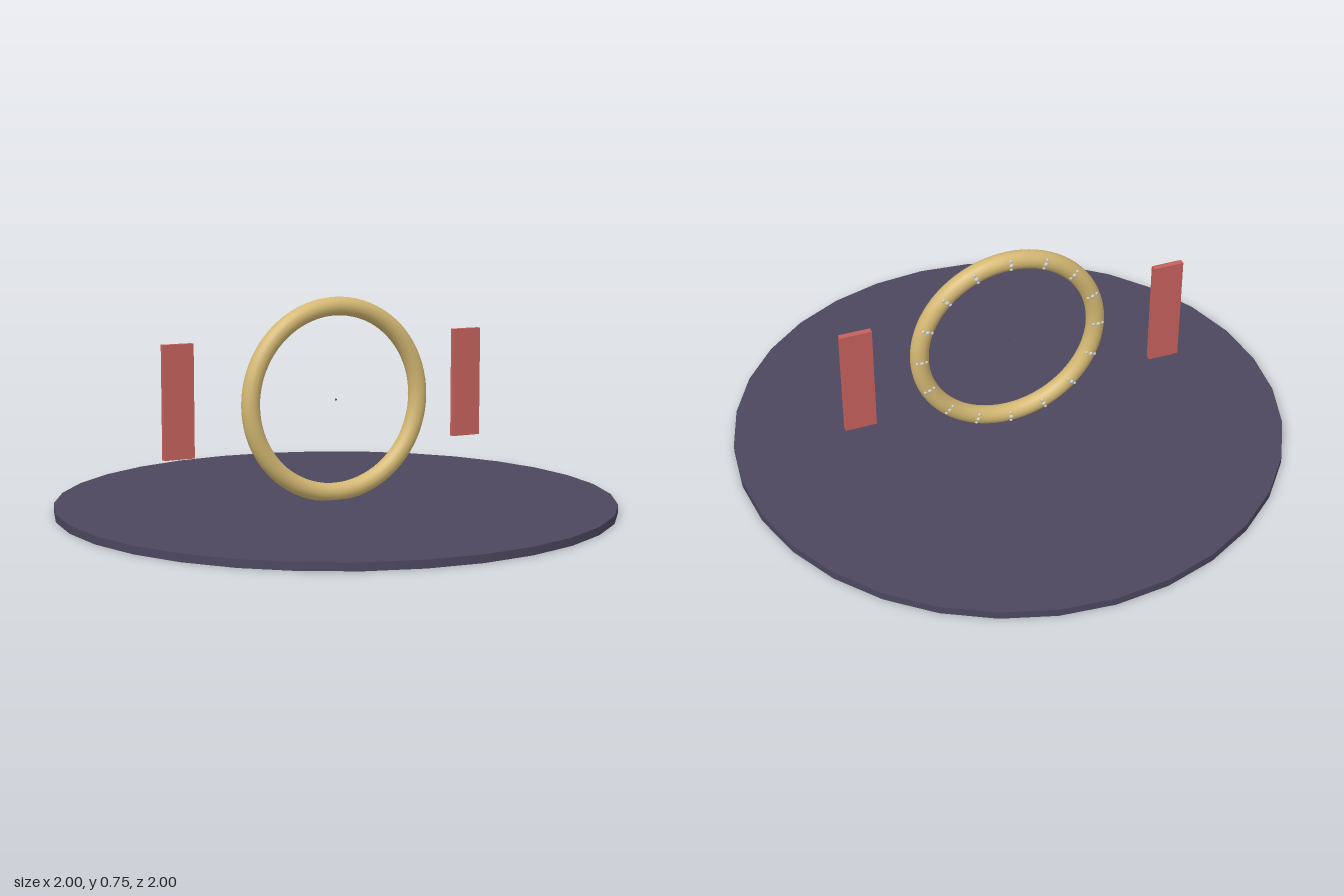
import * as THREE from 'three';

const paint = (color) => new THREE.MeshStandardMaterial({ color });

export function createModel() {
  const model = new THREE.Group();
  const gold = paint(0xd4b873);
  const red = paint(0xc4605c);
  const dark = paint(0x4c475e);
  const pale = paint(0xdddddd);

  const add = (parent, name, geometry, material, x, y, z) => {
    const mesh = new THREE.Mesh(geometry, material);
    mesh.name = name;
    mesh.position.set(x, y, z);
    parent.add(mesh);
    return mesh;
  };

  // Thin round floor plate
  add(model, 'basePlate', new THREE.CylinderGeometry(1, 1, 0.028, 32), dark, 0, 0.014, 0);

  // Upright ring resting on the plate
  const ringGroup = new THREE.Group();
  ringGroup.name = 'ringAssembly';
  ringGroup.position.y = 0.386;
  model.add(ringGroup);
  const R = 0.333;
  add(ringGroup, 'ring', new THREE.TorusGeometry(R, 0.033, 20, 80), gold, 0, 0, 0);

  // Tiny bead at the ring's centre
  add(ringGroup, 'centreBead', new THREE.SphereGeometry(0.004, 8, 6), dark, 0, 0, 0);

  // Sixteen studs on the back of the ring, each with two small side beads
  const studGeometry = new THREE.SphereGeometry(0.009, 10, 8);
  const beadGeometry = new THREE.SphereGeometry(0.006, 8, 6);
  for (let i = 0; i < 16; i++) {
    const stud = new THREE.Group();
    stud.name = 'stud';
    stud.rotation.z = (i / 16) * Math.PI * 2;
    add(stud, 'studGem', studGeometry, pale, R, 0, -0.029);
    for (const side of [-1, 1]) {
      add(stud, 'studBead', beadGeometry, pale, R + side * 0.017, 0, -0.028);
    }
    ringGroup.add(stud);
  }

  // Floating side panels, set slightly behind the ring
  for (const side of [-1, 1]) {
    add(model, side > 0 ? 'leftPanel' : 'rightPanel',
      new THREE.BoxGeometry(0.113, 0.4, 0.021), red, side * 0.577, 0.407, -0.067);
  }

  return model;
}
